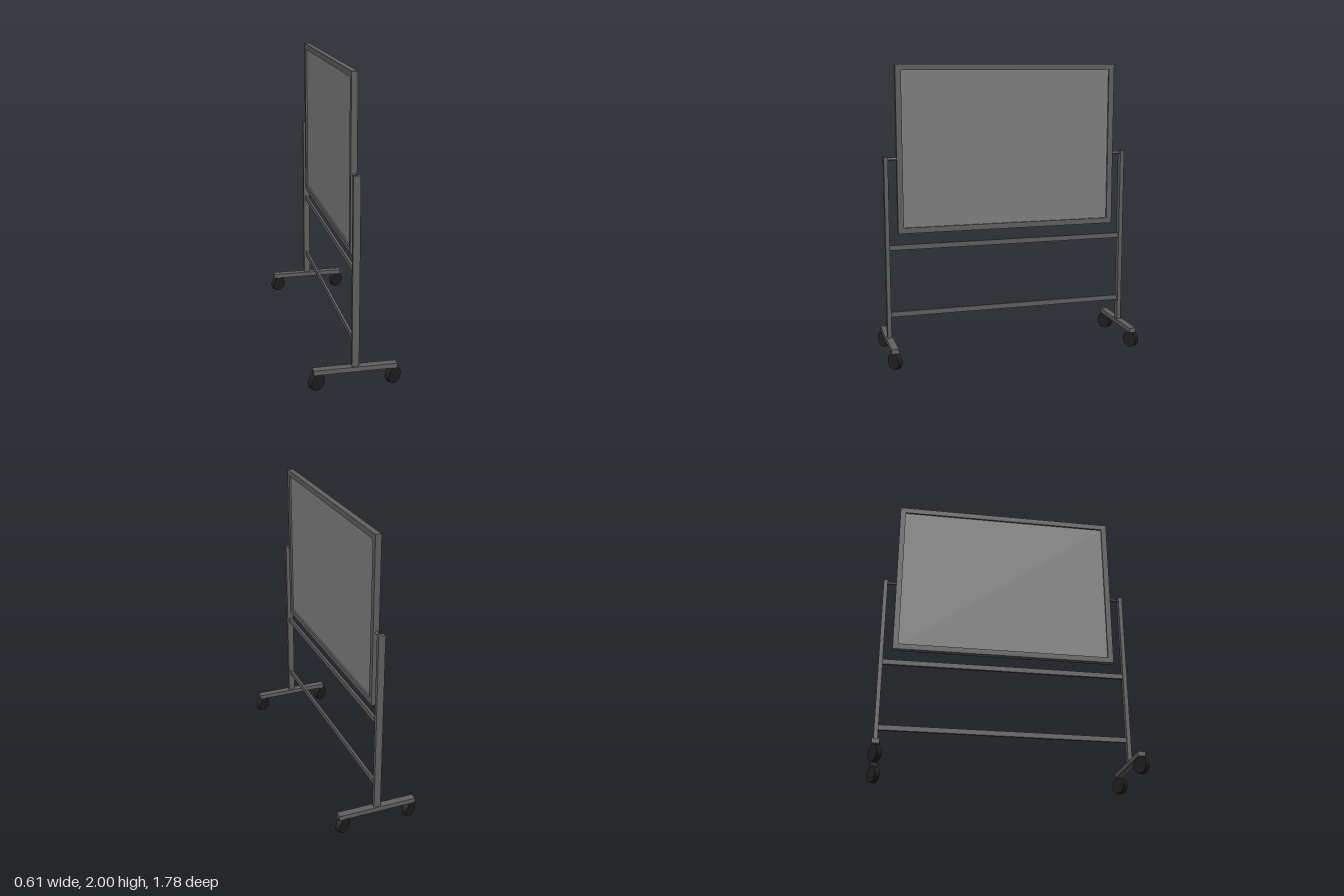
import * as THREE from 'three';

const steel = new THREE.MeshStandardMaterial({ color: 0x606060 });
const panelGrey = new THREE.MeshStandardMaterial({ color: 0x808080 });
const rubber = new THREE.MeshStandardMaterial({ color: 0x202020 });

export function createModel() {
  const model = new THREE.Group();
  model.name = 'mobileBoard';

  function add(name, geometry, material, x, y, z) {
    const mesh = new THREE.Mesh(geometry, material);
    mesh.name = name;
    mesh.position.set(x, y, z);
    model.add(mesh);
    return mesh;
  }
  const box = (name, w, h, d, x, y, z, material = steel) =>
    add(name, new THREE.BoxGeometry(w, h, d), material, x, y, z);

  // Writing panel, recessed in its frame
  const top = 2, bottom = 0.866, halfZ = 0.775, bar = 0.039, depth = 0.04;
  const midY = (top + bottom) / 2;
  box('panel', 0.015, top - bottom - bar, 2 * halfZ - bar, 0, midY, 0, panelGrey);
  box('frameTop', depth, bar, 2 * halfZ, 0, top - bar / 2, 0);
  box('frameBottom', depth, bar, 2 * halfZ, 0, bottom + bar / 2, 0);

  // Crossbars joining the two posts
  box('upperCrossbar', 0.018, 0.035, 1.67, 0, 0.77, 0);
  box('lowerCrossbar', 0.018, 0.035, 1.67, 0, 0.303, 0);

  for (const s of [1, -1]) {
    box('frameSide', depth, top - bottom - 2 * bar, bar, 0, midY, s * (halfZ - bar / 2));

    // Post, foot and the pivot that carries the panel
    box('post', 0.046, 1.25, 0.028, 0, 0.765, s * 0.849);
    box('foot', 0.544, 0.032, 0.05, 0, 0.126, s * 0.849);
    const pivot = add('pivot', new THREE.CylinderGeometry(0.009, 0.009, 0.075, 16), steel, 0, 1.375, s * 0.805);
    pivot.rotation.x = Math.PI / 2;

    // Casters, all swivelled the same way
    for (const side of [1, -1]) {
      const wheelGeometry = new THREE.CylinderGeometry(0.055, 0.055, 0.036, 24);
      wheelGeometry.rotateX(Math.PI / 2);
      const wheel = add('casterWheel', wheelGeometry, rubber, side * (0.245 + s * 0.005), 0.055, s * 0.849);
      wheel.rotation.y = Math.PI / 6;
    }
  }
  return model;
}
